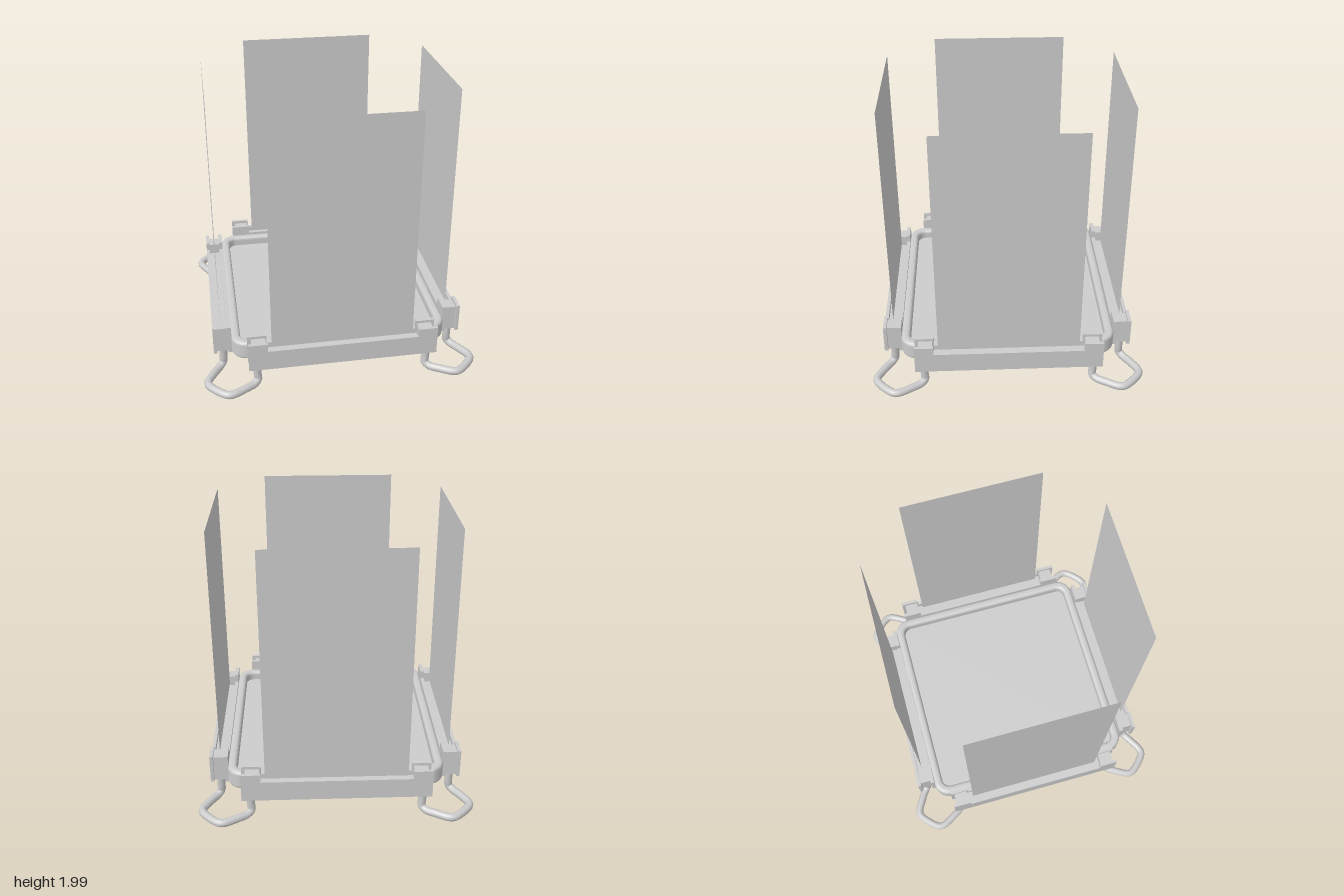
import * as THREE from 'three';

const mat = new THREE.MeshStandardMaterial({ color: 0xcccccc });
const thinMat = new THREE.MeshStandardMaterial({ color: 0xcccccc, side: THREE.DoubleSide });

function add(parent, name, geometry, material = mat) {
  const mesh = new THREE.Mesh(geometry, material);
  mesh.name = name;
  parent.add(mesh);
  return mesh;
}

function box(parent, name, x0, x1, y0, y1, z0, z1) {
  add(parent, name, new THREE.BoxGeometry(x1 - x0, y1 - y0, z1 - z0))
    .position.set((x0 + x1) / 2, (y0 + y1) / 2, (z0 + z1) / 2);
}

function roundedSquare(target, h, r) {
  target.moveTo(h, -h + r);
  target.lineTo(h, h - r);
  target.absarc(h - r, h - r, r, 0, Math.PI / 2);
  target.lineTo(-h + r, h);
  target.absarc(-h + r, h - r, r, Math.PI / 2, Math.PI);
  target.lineTo(-h, -h + r);
  target.absarc(-h + r, -h + r, r, Math.PI, Math.PI * 1.5);
  target.lineTo(h - r, -h);
  target.absarc(h - r, -h + r, r, Math.PI * 1.5, Math.PI * 2);
  return target;
}

// Rim with rounded edges, and the thin floor inside it
function createTray() {
  const tray = new THREE.Group();
  tray.name = 'tray';
  const bevel = 0.025;
  const rim = roundedSquare(new THREE.Shape(), 0.77 - bevel, 0.09);
  rim.holes.push(roundedSquare(new THREE.Path(), 0.705 + bevel, 0.085));
  const rimGeo = new THREE.ExtrudeGeometry(rim, {
    depth: 0.14 - 2 * bevel, bevelSize: bevel, bevelThickness: bevel, bevelSegments: 4, curveSegments: 8,
  });
  rimGeo.rotateX(-Math.PI / 2).translate(0, 0.18 + bevel, 0);
  add(tray, 'trayRim', rimGeo);
  const floorGeo = new THREE.ShapeGeometry(roundedSquare(new THREE.Shape(), 0.72, 0.07), 8);
  floorGeo.rotateX(-Math.PI / 2).translate(0, 0.25, 0);
  add(tray, 'trayFloor', floorGeo, thinMat);
  return tray;
}

// Channel rail with raised ends, holding an upright panel
function createSide() {
  const side = new THREE.Group();
  const lip = new THREE.Shape([
    [-0.665, 0.18], [0.665, 0.18], [0.665, 0.39], [0.53, 0.39],
    [0.53, 0.33], [-0.53, 0.33], [-0.53, 0.39], [-0.665, 0.39],
  ].map(([x, y]) => new THREE.Vector2(x, y)));
  for (const [name, z0, z1] of [['innerLip', 0.767, 0.795], ['outerLip', 0.873, 0.897]]) {
    const geo = new THREE.ExtrudeGeometry(lip, { depth: z1 - z0, bevelEnabled: false });
    add(side, name, geo.translate(0, 0, z0));
  }
  box(side, 'channelFloor', -0.64, 0.64, 0.18, 0.29, 0.79, 0.88);
  for (const s of [-1, 1]) {
    box(side, 'channelEnd', s * 0.59 - 0.05, s * 0.59 + 0.05, 0.28, 0.37, 0.79, 0.88);
  }
  add(side, 'panel', new THREE.PlaneGeometry(1, 1.67), thinMat).position.set(0, 1.165, 0.838);
  return side;
}

// Bent loop foot running from one rail end to the next
function createFoot() {
  const half = [
    [0.61, 0.2, 0.83], [0.605, 0.1, 0.83], [0.603, 0.058, 0.835],
    [0.63, 0.037, 0.86], [0.7, 0.036, 0.905], [0.79, 0.036, 0.95], [0.83, 0.036, 0.945],
  ];
  const points = [...half, ...half.map(([x, y, z]) => [z, y, x]).reverse()];
  const path = new THREE.CatmullRomCurve3(points.map((p) => new THREE.Vector3(...p)));
  return new THREE.TubeGeometry(path, 72, 0.029, 10);
}

export function createModel() {
  const model = new THREE.Group();
  model.name = 'panelTray';
  model.add(createTray());
  const footGeo = createFoot();
  ['front', 'left', 'back', 'right'].forEach((name, i) => {
    const side = createSide();
    side.name = name + 'Side';
    side.rotation.y = (i * Math.PI) / 2;
    model.add(side);
    add(model, 'cornerFoot', footGeo).rotation.y = (i * Math.PI) / 2;
  });
  return model;
}
